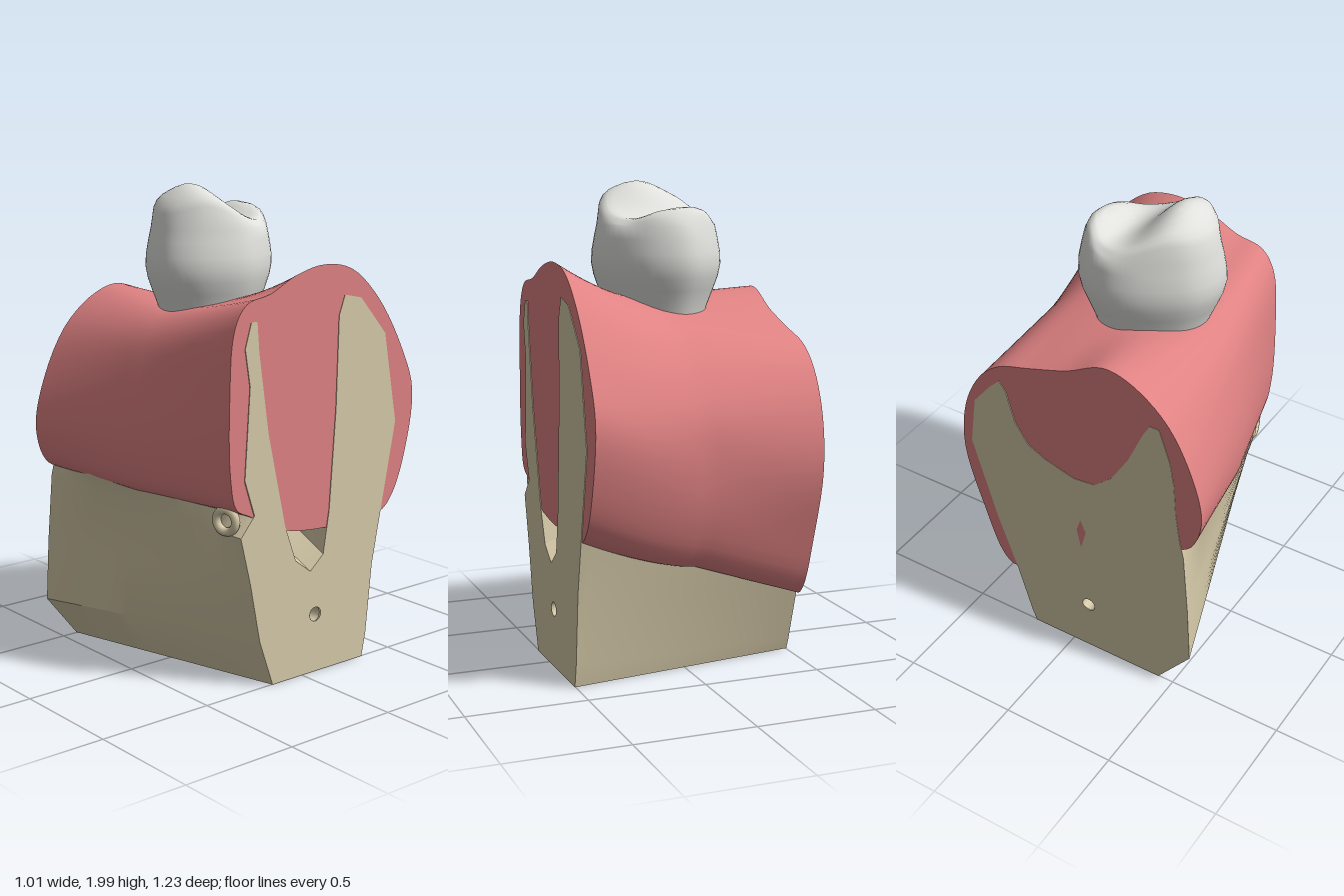
import * as THREE from 'three';
import { toCreasedNormals } from 'three/addons/utils/BufferGeometryUtils.js';

const HALF = 0.5;
const lerp = THREE.MathUtils.lerp;

// Skin of closed rings; each ring is a list of [x, y, z]
function loft(rings, crease) {
  const n = rings[0].length, index = [];
  for (let i = 0; i < rings.length - 1; i++) {
    for (let j = 0; j < n; j++) {
      const a = i * n + j, b = i * n + (j + 1) % n;
      index.push(a, b, a + n, b, b + n, a + n);
    }
  }
  const g = new THREE.BufferGeometry();
  g.setAttribute('position', new THREE.Float32BufferAttribute(rings.flat(2), 3));
  g.setIndex(index);
  return toCreasedNormals(g, crease);
}

// Flat end face from [z, y] points; side is +1 or -1 along x
function endFace(points, side, x, hole) {
  const shape = new THREE.Shape(points.map(([z, y]) => new THREE.Vector2(-side * z, y)));
  if (hole) {
    const path = new THREE.Path();
    path.absarc(-side * hole[0], hole[1], 0.03, 0, Math.PI * 2, true);
    shape.holes.push(path);
  }
  return new THREE.ShapeGeometry(shape, 10).rotateY(side * Math.PI / 2).translate(side * x, 0, 0);
}

function smoothLoop(points, count) {
  const curve = new THREE.CatmullRomCurve3(points.map(([a, b]) => new THREE.Vector3(a, b, 0)), true);
  return Array.from({ length: count }, (_, i) => {
    const p = curve.getPoint(i / count);
    return [p.x, p.y];
  });
}

// Bone cross-sections [z, y] at the -x and +x ends
const boneA = [[.43, 0], [-.2, 0], [-.22, .05], [-.29, .28], [-.38, .53], [-.49, .9], [-.46, 1.12],
  [-.38, 1.22], [-.33, 1.27], [-.3, 1.23], [-.26, 1.09], [-.2, 1], [-.12, .96], [.02, .92],
  [.12, .93], [.2, 1], [.28, 1.13], [.35, 1.29], [.38, 1.34], [.42, 1.34], [.47, 1.2],
  [.49, 1.09], [.5, .95], [.52, .82], [.54, .74], [.565, .45], [.58, .19]];
const boneB = [[.16, 0], [-.34, 0], [-.36, .1], [-.39, .4], [-.45, .7], [-.51, 1], [-.44, 1.38],
  [-.3, 1.54], [-.21, 1.56], [-.18, 1.48], [-.17, 1.1], [-.14, .68], [-.11, .5], [-.04, .44],
  [.04, .5], [.1, .66], [.19, 1.05], [.24, 1.38], [.25, 1.5], [.28, 1.5], [.31, 1.4],
  [.285, 1.25], [.31, .88], [.26, .73], [.33, .65], [.28, .45], [.23, .2]];

// Gum cross-sections [z, y] at -x, the middle and +x
const gumA = [[-.3, .28], [-.36, .32], [-.45, .55], [-.53, .85], [-.51, 1.08], [-.43, 1.25], [-.33, 1.34],
  [-.18, 1.39], [0, 1.45], [.17, 1.53], [.3, 1.5], [.46, 1.37], [.585, 1.12], [.615, .95],
  [.57, .81], [.48, .76], [.2, .7], [-.05, .6]];
const gumM = [[-.37, .46], [-.43, .5], [-.51, .7], [-.54, .95], [-.52, 1.12], [-.42, 1.3], [-.3, 1.41],
  [-.15, 1.47], [0, 1.5], [.2, 1.5], [.33, 1.48], [.42, 1.4], [.49, 1.2], [.52, .95],
  [.49, .79], [.4, .74], [.15, .68], [-.1, .6]];
const gumB = [[-.43, .62], [-.5, .68], [-.57, .85], [-.61, 1.12], [-.54, 1.31], [-.4, 1.53], [-.25, 1.66],
  [-.1, 1.69], [.05, 1.66], [.18, 1.6], [.3, 1.57], [.36, 1.48], [.385, 1.2], [.38, .9],
  [.35, .77], [.28, .73], [.1, .64], [-.14, .61]];

// Bone stays below the gum between the ends; the front notch fades away from +x
function boneSection(t) {
  const bulge = Math.sin(Math.PI * t);
  return boneA.map(([za, ya], i) => {
    const [zb, yb] = boneB[i];
    let z = lerp(za, zb, t), y = lerp(ya, yb, t);
    if (i === 23) z += 0.07 * (1 - t ** 8) * Math.min(1, t * 4);
    if (y > 0.85) {
      z *= 1 - 0.08 * bulge;
      y -= 0.3 * bulge * (y - 0.85);
    }
    return [z, y];
  });
}

function gumSection(x) {
  const t = Math.abs(x) / HALF, end = x < 0 ? gumA : gumB;
  const ty = x < 0 ? t : t ** 1.4;
  return smoothLoop(gumM.map(([z, y], i) => [lerp(z, end[i][0], t), lerp(y, end[i][1], ty)]), 90);
}

// Crown: outline from above [x, z], scaled about its middle up the wall
const crownOutline = [[-.25, .1], [-.18, .24], [-.1, .33], [0, .37], [.1, .36], [.2, .27], [.26, .1],
  [.22, -.03], [.1, -.17], [-.05, -.22], [-.2, -.13], [-.26, 0]];
const crownWall = [[1.3, .68], [1.4, .73], [1.48, .79], [1.56, .9], [1.61, .965], [1.66, 1],
  [1.71, .99], [1.77, .95], [1.82, .91]];

// Chewing surface: one tall front cusp, a groove and a low back cusp
function biteHeight(x, z, r) {
  const front = 0.165 * Math.exp(-((x - .03) ** 2 / .045 + (z - .2) ** 2 / .018));
  const back = 0.06 * Math.exp(-((x + .05) ** 2 / .03 + (z + .12) ** 2 / .004));
  return 1.82 + front + back + 0.035 * r * r;
}

function crownGeometry() {
  const cz = 0.075, loop = smoothLoop(crownOutline, 60);
  const ring = (s, height) => loop.map(([x, z]) => {
    const px = x * s, pz = cz + (z - cz) * s;
    return [px, height(px, pz), pz];
  });
  const rings = crownWall.map(([y, s]) => ring(s, () => y));
  for (const s of [.87, .82, .74, .65, .55, .45, .35, .25, .15, .07, 0.001]) {
    const drop = s > .8 ? (s - .8) * 0.4 : 0;
    rings.push(ring(s, (x, z) => biteHeight(x, z, s) - drop));
  }
  return loft(rings, 1.4);
}

export function createModel() {
  const model = new THREE.Group();
  const bone = new THREE.MeshStandardMaterial({ color: 0xd6caa9, side: THREE.DoubleSide });
  bone.name = 'bone tan';
  const gum = new THREE.MeshStandardMaterial({ color: 0xe08283, side: THREE.DoubleSide });
  gum.name = 'gum pink';
  const enamel = new THREE.MeshStandardMaterial({ color: 0xe0e0dc });
  enamel.name = 'enamel white';

  const add = (name, geometry, material) => {
    const mesh = new THREE.Mesh(geometry, material);
    mesh.name = name;
    model.add(mesh);
    return mesh;
  };

  // Jaw bone with its cut ends, standing just proud of the gum ends
  const steps = 24, boneRings = [], gumRings = [];
  for (let i = 0; i <= steps; i++) {
    const t = i / steps, x = (t - 0.5) * 2 * HALF;
    boneRings.push(boneSection(t).map(([z, y]) => [x * 1.006, y, z]));
    gumRings.push(gumSection(x).map(([z, y]) => [x, y, z]));
  }
  const holeA = [.08, .24], holeB = [-.07, .25];
  add('jawBone', loft(boneRings, 0.5), bone);
  add('boneEndRight', endFace(boneA, -1, HALF + .003, holeA), bone);
  add('boneEndLeft', endFace(boneB, 1, HALF + .003, holeB), bone);

  // Nerve canal running through the bone
  const canal = new THREE.LineCurve3(
    new THREE.Vector3(-HALF, holeA[1], holeA[0]), new THREE.Vector3(HALF, holeB[1], holeB[0]));
  add('nerveCanal', new THREE.TubeGeometry(canal, 4, 0.031, 16), bone);

  // Small opening rim on the front of the bone
  const rim = add('nerveOpeningRim', new THREE.TorusGeometry(0.045, 0.018, 10, 24), bone);
  rim.position.set(0.43, 0.71, 0.345);
  rim.rotation.y = 0.3;

  // Gum sleeve over the bone
  add('gumSleeve', loft(gumRings, 0.9), gum);
  add('gumEndRight', endFace(gumSection(-HALF), -1, HALF), gum);
  add('gumEndLeft', endFace(gumSection(HALF), 1, HALF), gum);

  // Small patch of soft tissue showing in the cut bone
  add('tissuePatch', endFace([[.05, .56], [.075, .65], [.05, .71], [.03, .65]], -1, HALF + .006), gum);

  // Tooth
  add('toothCrown', crownGeometry(), enamel);
  return model;
}
